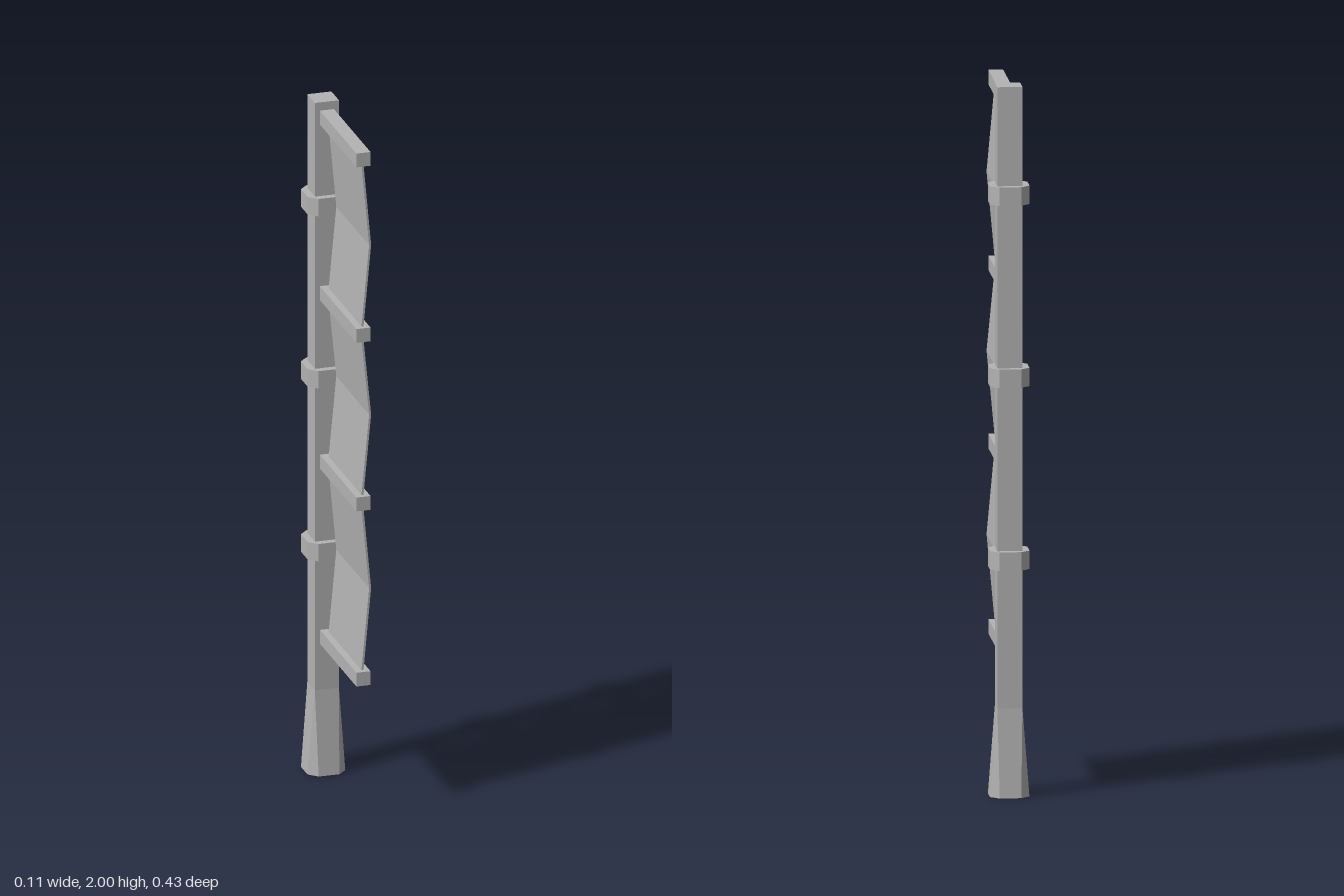
import * as THREE from 'three';
import { ConvexGeometry } from 'three/addons/geometries/ConvexGeometry.js';

const POLE_Z = -0.16;

export function createModel() {
  const group = new THREE.Group();
  const grey = new THREE.MeshStandardMaterial({ color: 0xb4b4b4, flatShading: true });
  grey.name = 'plain grey';

  const add = (name, geometry, x, y, z) => {
    const mesh = new THREE.Mesh(geometry, grey);
    mesh.name = name;
    mesh.position.set(x, y, z);
    group.add(mesh);
  };

  // Square with cut corners at height y: half width r, half length of straight side s
  const octagon = (r, s, y) => {
    const points = [];
    for (const a of [-1, 1]) for (const b of [-1, 1]) {
      points.push(new THREE.Vector3(a * r, y, b * s), new THREE.Vector3(a * s, y, b * r));
    }
    return points;
  };

  // Square pole, flaring to an eight-sided foot
  const half = 0.035;
  add('pole', new THREE.BoxGeometry(2 * half, 1.75, 2 * half), 0, 1.125, POLE_Z);
  const corners = [];
  for (const a of [-1, 1]) for (const b of [-1, 1]) corners.push(new THREE.Vector3(a * half, 0.25, b * half));
  add('poleFoot', new ConvexGeometry([...octagon(0.055, 0.03, 0), ...corners]), 0, 0, POLE_Z);

  // Eight-sided collars around the pole
  const collar = new ConvexGeometry([...octagon(0.055, 0.031, -0.026), ...octagon(0.055, 0.031, 0.026)]);
  for (const y of [0.667, 1.182, 1.695]) add('collar', collar, 0, y, POLE_Z);

  // Horizontal bars carrying the cloth
  const barHeights = [0.408, 0.93, 1.432, 1.955];
  const bar = new THREE.BoxGeometry(0.041, 0.041, 0.34);
  for (const y of barHeights) add('crossBar', bar, 0, y, 0.045);

  // Cloth zigzags in at each bar and out between bars
  const path = [];
  barHeights.forEach((y, i) => {
    path.push([0, y]);
    if (i < 3) path.push([0.024, [0.67, 1.187, 1.692][i]]);
  });
  const t = 0.003;
  const outline = [
    ...path.map(([x, y]) => new THREE.Vector2(x + t, y)),
    ...path.reverse().map(([x, y]) => new THREE.Vector2(x - t, y)),
  ];
  const cloth = new THREE.ExtrudeGeometry(new THREE.Shape(outline), { depth: 0.305, bevelEnabled: false });
  add('cloth', cloth, 0, 0, -0.105);

  return group;
}
